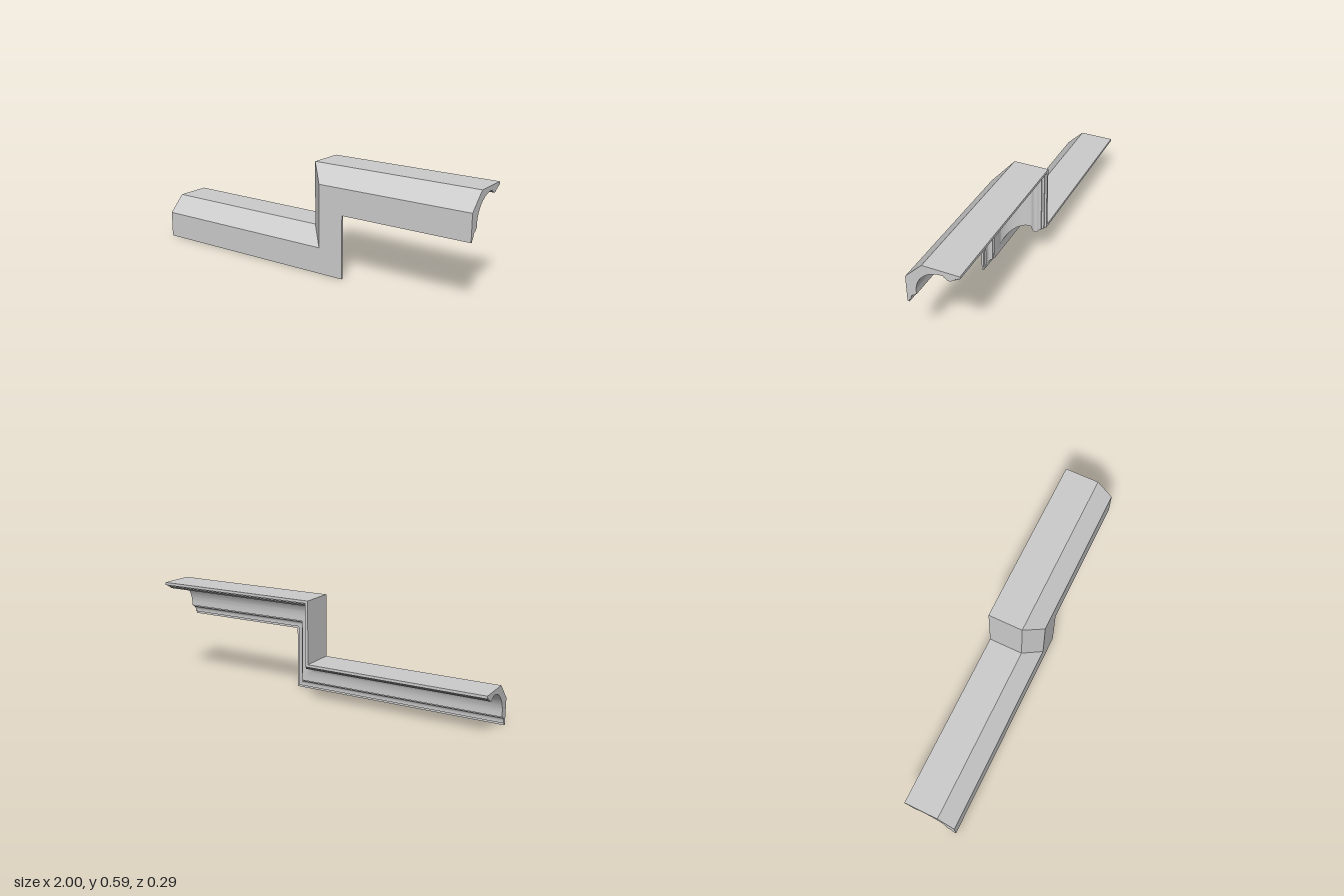
import * as THREE from 'three';
import { toCreasedNormals } from 'three/addons/utils/BufferGeometryUtils.js';

const TOP = 0.593;

// Points along an elliptical arc in the (z, y) plane, angles in degrees
function arc(cz, cy, rz, ry, from, to, steps) {
  return Array.from({ length: steps + 1 }, (_, i) => {
    const a = THREE.MathUtils.degToRad(from + ((to - from) * i) / steps);
    return [cz + rz * Math.cos(a), cy + ry * Math.sin(a)];
  });
}

// Moulding cross-section as (z, y), drawn at the height of the upper run
function mouldingProfile() {
  const bead = new THREE.SplineCurve([
    [-0.06, 0.562], [-0.068, 0.559], [-0.078, 0.551], [-0.089, 0.549],
    [-0.099, 0.552], [-0.106, 0.56], [-0.119, 0.564],
  ].map(([z, y]) => new THREE.Vector2(z, y)));
  return [
    // flat front, bevel and flat top
    [0.144, 0.353], [0.144, 0.5], [0.051, TOP], [-0.144, TOP],
    // stepped fillets at the back
    [-0.144, 0.578], [-0.132, 0.578], [-0.132, 0.571], [-0.119, 0.571],
    // rounded bead
    ...bead.getPoints(24).reverse().map((p) => [p.x, p.y]),
    // large cove
    ...arc(-0.05, 0.43, 0.141, 0.138, 94, 0, 32),
    // small steps and small cove at the lower front
    [0.091, 0.41], [0.1, 0.41],
    ...arc(0.1, 0.375, 0.023, 0.027, 90, 0, 10),
    [0.123, 0.366], [0.132, 0.366], [0.132, 0.353],
  ].map(([z, y]) => new THREE.Vector2(z, y));
}

// Sweep along the stepped path with mitred corners and closed ends
function mitredSweep(profile, stations) {
  const n = profile.length;
  const positions = [];
  const index = [];
  for (const { x, y, shift } of stations) {
    for (const p of profile) {
      const drop = TOP - p.y;
      positions.push(x + shift * drop, y - drop, p.x);
    }
  }
  for (let s = 0; s < stations.length - 1; s++) {
    for (let j = 0; j < n; j++) {
      const k = (j + 1) % n;
      const a = s * n + j, b = s * n + k;
      index.push(a, a + n, b + n, a, b + n, b);
    }
  }
  const last = (stations.length - 1) * n;
  for (const [a, b, c] of THREE.ShapeUtils.triangulateShape(profile, [])) {
    index.push(a, b, c, last + a, last + c, last + b);
  }
  const geometry = new THREE.BufferGeometry();
  geometry.setAttribute('position', new THREE.Float32BufferAttribute(positions, 3));
  geometry.setIndex(index);
  return toCreasedNormals(geometry, Math.PI / 7);
}

export function createModel() {
  const group = new THREE.Group();
  group.name = 'steppedCornice';

  // Path of the top back edge; shift slants the section into a 45 degree mitre
  const stations = [
    { x: -1, y: 0.24, shift: 0 },
    { x: 0.02, y: 0.24, shift: 1 },
    { x: 0.02, y: TOP, shift: 1 },
    { x: 1, y: TOP, shift: 0 },
  ];
  const moulding = new THREE.Mesh(
    mitredSweep(mouldingProfile(), stations),
    new THREE.MeshStandardMaterial({ color: 0xcccccc })
  );
  moulding.name = 'corniceMoulding';
  group.add(moulding);
  return group;
}
